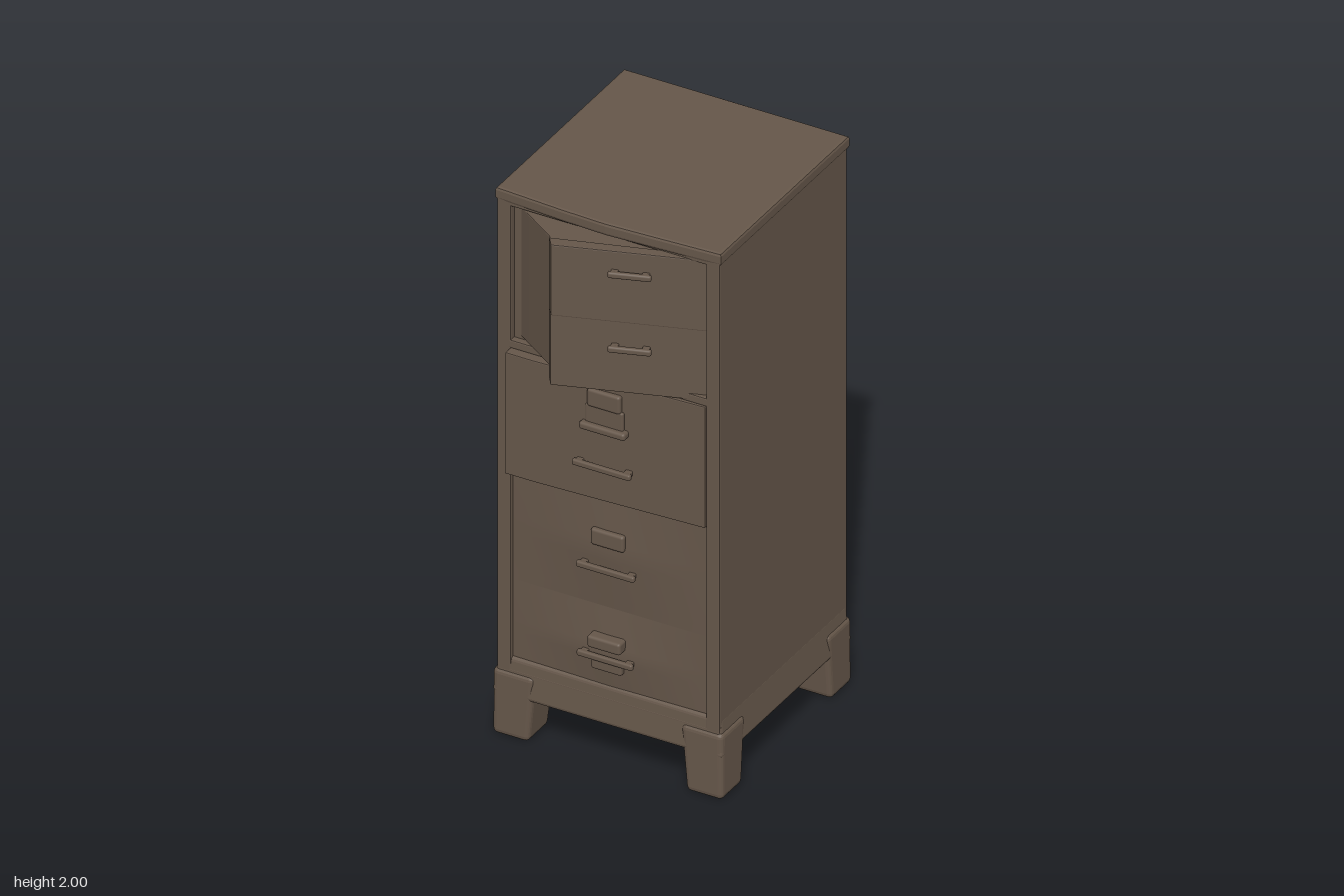
import * as THREE from 'three';
import { RoundedBoxGeometry } from 'three/addons/geometries/RoundedBoxGeometry.js';

export function createModel() {
  const brown = new THREE.MeshStandardMaterial({ color: 0x66574a });
  brown.name = 'brownPaint';
  const cabinet = new THREE.Group();
  cabinet.name = 'filingCabinet';

  const add = (name, geometry, parent = cabinet) => {
    const mesh = new THREE.Mesh(geometry, brown);
    mesh.name = name;
    parent.add(mesh);
    return mesh;
  };

  // Rounded box given by its limits on each axis
  const block = (x0, x1, y0, y1, z0, z1, r) =>
    new RoundedBoxGeometry(x1 - x0, y1 - y0, z1 - z0, 2, r)
      .translate((x0 + x1) / 2, (y0 + y1) / 2, (z0 + z1) / 2);

  // Upright slab from a plan outline of [x, z] points
  const slab = (points, y0, y1, bevel = 0.004) => {
    const shape = new THREE.Shape(points.map(([x, z]) => new THREE.Vector2(x, -z)));
    return new THREE.ExtrudeGeometry(shape, {
      depth: y1 - y0 - 2 * bevel, bevelEnabled: true, bevelThickness: bevel,
      bevelSize: bevel, bevelOffset: -bevel, bevelSegments: 2,
    }).rotateX(-Math.PI / 2).translate(0, y0 + bevel, 0);
  };

  // Moves every vertex by a rule
  const bend = (geometry, rule) => {
    const p = geometry.attributes.position;
    const v = new THREE.Vector3();
    for (let i = 0; i < p.count; i++) {
      rule(v.fromBufferAttribute(p, i));
      p.setXYZ(i, v.x, v.y, v.z);
    }
    geometry.computeVertexNormals();
    return geometry;
  };

  // Carcass, with a face frame around the drawer openings
  add('carcass', block(-0.4, 0.4, 0.2, 1.985, -0.47, 0.312, 0.008));
  const frame = new THREE.Shape([[-0.4, 0.2], [0.4, 0.2], [0.4, 1.98], [-0.4, 1.98]]
    .map(([x, y]) => new THREE.Vector2(x, y)));
  for (const [y0, y1] of [[0.25, 1.425], [1.455, 1.945]]) {
    frame.holes.push(new THREE.Path([[-0.35, y0], [-0.35, y1], [0.35, y1], [0.35, y0]]
      .map(([x, y]) => new THREE.Vector2(x, y))));
  }
  add('faceFrame', new THREE.ExtrudeGeometry(frame, {
    depth: 0.045, bevelEnabled: true, bevelThickness: 0.005, bevelSize: 0.005,
    bevelOffset: -0.005, bevelSegments: 2,
  }).translate(0, 0, 0.285));

  // Top with a slightly bowed front edge
  add('top', slab([[-0.405, -0.475], [0.405, -0.475], [0.405, 0.335], [0.16, 0.348],
    [0, 0.356], [-0.16, 0.35], [-0.405, 0.335]], 1.955, 2, 0.01));

  // Flared plinth
  add('plinth', bend(block(-0.413, 0.413, 0.15, 0.29, -0.477, 0.343, 0.014), (v) => {
    const t = THREE.MathUtils.clamp((v.y - 0.22) / 0.06, 0, 1);
    v.x *= 1 - 0.033 * t;
    v.z = -0.067 + (v.z + 0.067) * (1 - 0.03 * t);
  }));

  // Four feet, tapering downwards on their inner sides
  for (const sx of [-1, 1]) {
    for (const sz of [-1, 1]) {
      const foot = block(-0.075, 0.075, 0, 0.24, -0.075, 0.075, 0.018);
      bend(foot, (v) => {
        const s = 0.86 + 0.14 * Math.min(1, v.y / 0.17);
        v.x = sx * 0.075 + (v.x - sx * 0.075) * s;
        v.z = sz * 0.075 + (v.z - sz * 0.075) * s;
      });
      add('foot', foot).position.set(sx * 0.338, 0, -0.067 + sz * 0.335);
    }
  }

  // Lower drawer fronts, gently swelling toward the middle
  const drawerFront = (name, y0, y1, swell) => {
    const h = y1 - y0;
    const g = new THREE.PlaneGeometry(0.7, h, 16, 12);
    bend(g, (v) => {
      v.z = swell * (1 - Math.abs(v.x) / 0.35) * (1 - Math.abs(v.y) / (h / 2));
    });
    add(name, g).position.set(0, (y0 + y1) / 2, 0.32);
  };
  drawerFront('bottomDrawer', 0.25, 0.572, 0.02);
  drawerFront('thirdDrawer', 0.572, 0.99, 0.018);

  // Second drawer, pulled out a little on one side
  add('secondDrawer', slab([[-0.353, 0.28], [0.35, 0.28], [0.35, 0.339],
    [0, 0.355], [-0.25, 0.365], [-0.353, 0.365]], 0.98, 1.425));

  // Bar handle on two short posts
  const handle = (parent, x, y, z, width, depth) => {
    const group = new THREE.Group();
    group.name = 'handle';
    group.position.set(x, y, z);
    add('handleBar', block(-width / 2, width / 2, -0.011, 0.011, depth - 0.018, depth, 0.007), group);
    for (const s of [-1, 1]) {
      const px = s * (width / 2 - 0.02);
      add('handlePost', block(px - 0.012, px + 0.012, -0.009, 0.009, -0.015, depth - 0.004, 0.004), group);
    }
    parent.add(group);
  };
  handle(cabinet, 0, 1.11, 0.353, 0.21, 0.032);
  handle(cabinet, 0, 0.723, 0.33, 0.21, 0.03);
  handle(cabinet, 0, 0.4, 0.333, 0.2, 0.03);

  // Label holders
  add('labelHolder', block(-0.06, 0.06, 1.32, 1.385, 0.33, 0.369, 0.01));
  add('labelHolder', block(-0.068, 0.068, 1.25, 1.325, 0.33, 0.363, 0.006));
  add('labelHolderLip', block(-0.083, 0.083, 1.235, 1.262, 0.33, 0.38, 0.01));
  add('labelHolder', block(-0.06, 0.06, 0.8, 0.86, 0.31, 0.346, 0.01));
  add('labelHolder', block(-0.06, 0.06, 0.435, 0.478, 0.31, 0.368, 0.01));
  add('lowerLip', block(-0.055, 0.055, 0.35, 0.388, 0.31, 0.35, 0.008));

  // Top drawer swung open: two stacked fronts and the body behind them
  const openFront = (name, y0, y1, inset) => add(name, slab([[-0.125 - inset, 0.477 - inset],
    [0.348, 0.318 - inset], [0.338, 0.285], [-0.152, 0.44]], y0, y1));
  openFront('topDrawerUpperFront', 1.69, 1.95, 0);
  openFront('topDrawerLowerFront', 1.432, 1.7, 0.004);
  add('topDrawerBody', slab([[-0.335, 0.305], [0.33, 0.295], [-0.14, 0.445],
    [-0.165, 0.418], [-0.28, 0.343]], 1.465, 1.94));

  // Handles following the angle of the open drawer
  const openHandles = new THREE.Group();
  openHandles.name = 'topDrawerHandles';
  openHandles.position.set(0.115, 0, 0.395);
  openHandles.rotation.y = Math.atan2(0.159, 0.473);
  for (const y of [1.875, 1.602]) handle(openHandles, 0, y, 0, 0.14, 0.028);
  cabinet.add(openHandles);

  return cabinet;
}
